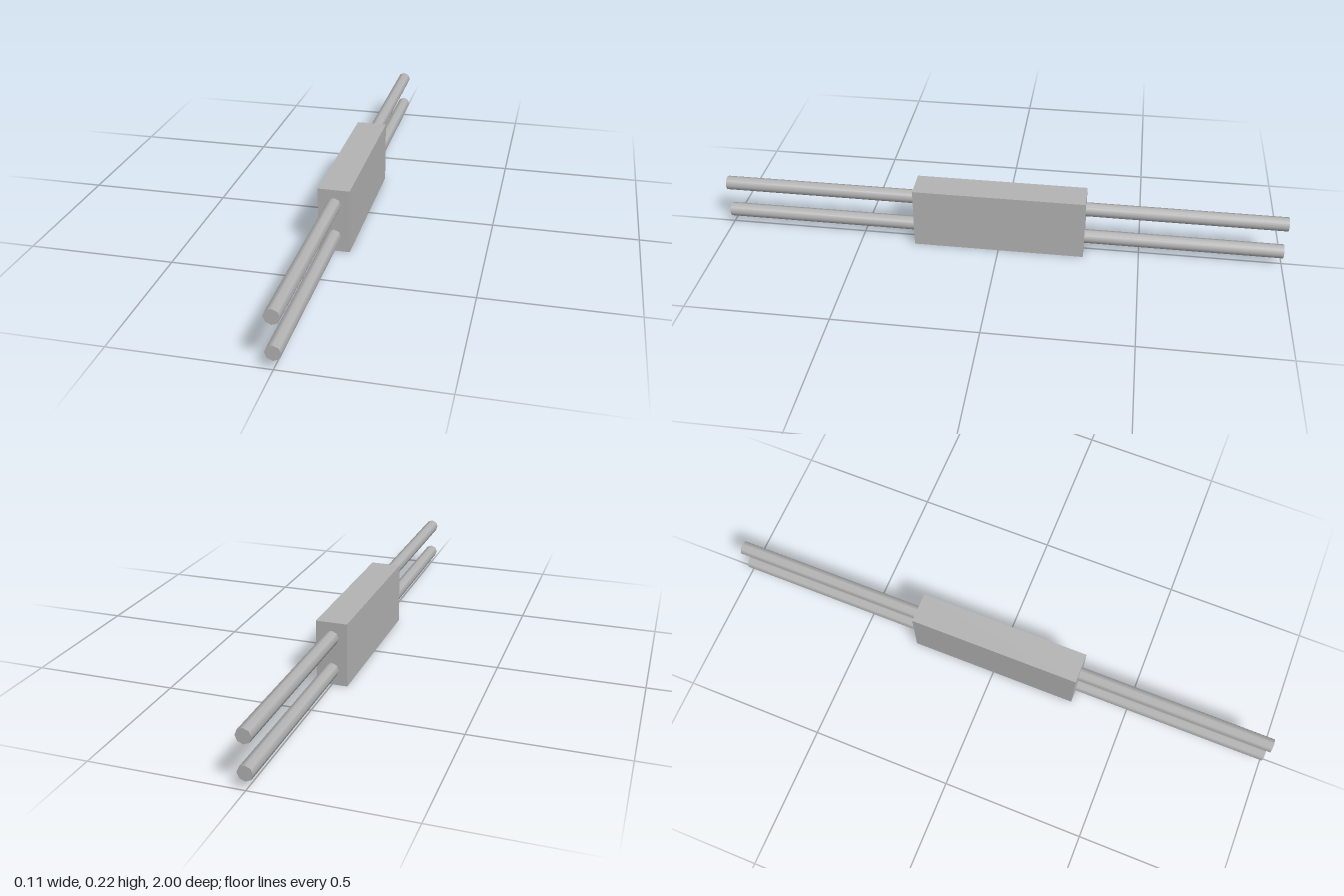
import * as THREE from 'three';

export function createModel() {
  const model = new THREE.Group();
  const grey = new THREE.MeshStandardMaterial({ color: 0xb4b4b4 });
  grey.name = 'grey';

  // Central block
  const block = new THREE.Mesh(new THREE.BoxGeometry(0.108, 0.224, 0.608), grey);
  block.name = 'block';
  block.position.y = 0.112;
  model.add(block);

  // Two parallel eight-sided rods running through the block along z
  const rodGeometry = new THREE.CylinderGeometry(0.025, 0.025, 2, 8).rotateX(Math.PI / 2);
  for (const [name, y] of [['upperRod', 0.17], ['lowerRod', 0.054]]) {
    const rod = new THREE.Mesh(rodGeometry, grey);
    rod.name = name;
    rod.position.y = y;
    model.add(rod);
  }
  return model;
}
